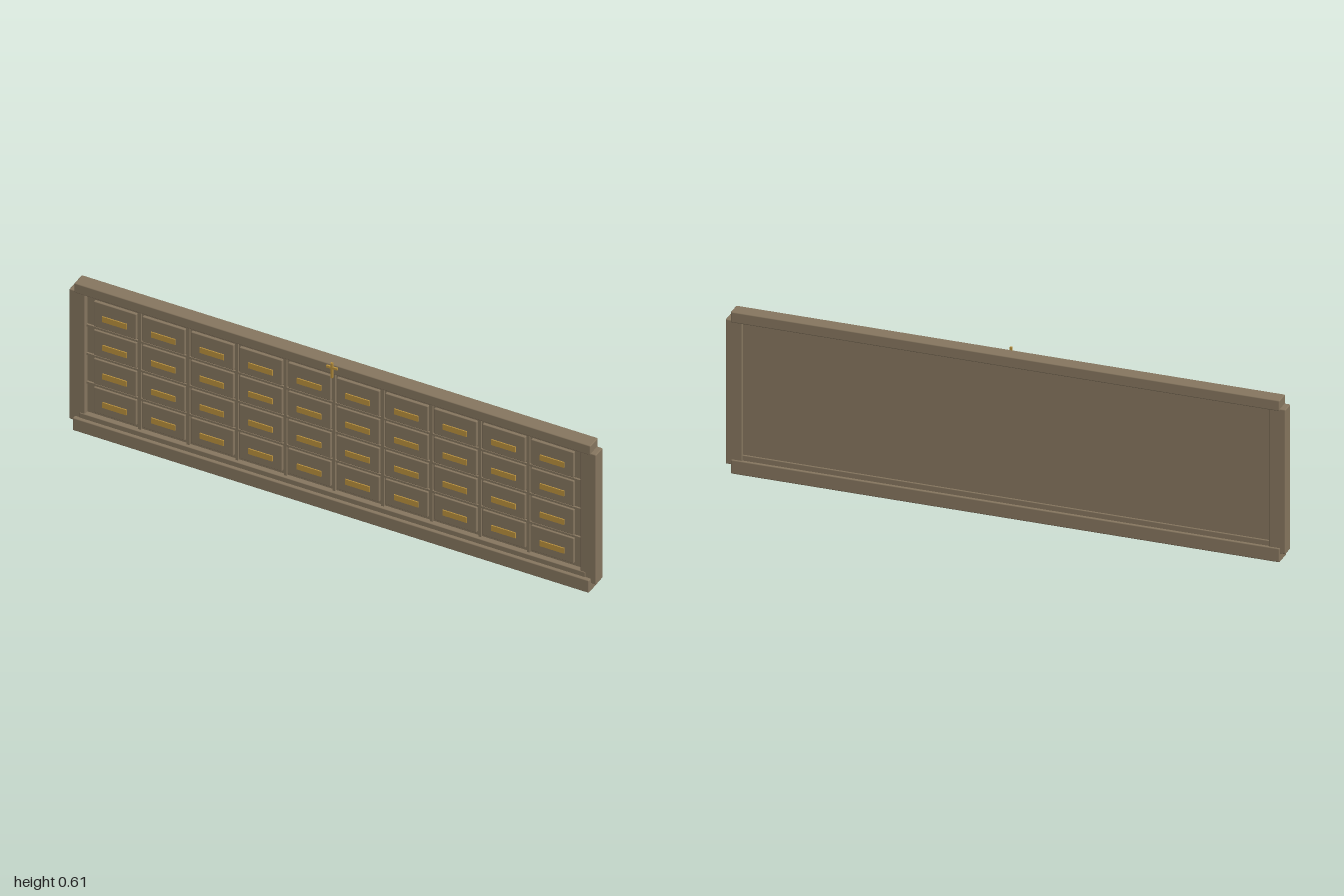
import * as THREE from 'three';
import { RoundedBoxGeometry } from 'three/addons/geometries/RoundedBoxGeometry.js';

export function createModel() {
  const model = new THREE.Group();
  model.name = 'drawerWall';
  const wood = new THREE.MeshStandardMaterial({ color: 0x86765f });
  wood.name = 'brownWood';
  const brass = new THREE.MeshStandardMaterial({ color: 0xbb923d });
  brass.name = 'brass';

  // Box given by its limits; a radius softens the edges
  function box(name, mat, x0, x1, y0, y1, z0, z1, radius = 0) {
    const size = [x1 - x0, y1 - y0, z1 - z0];
    const geo = radius
      ? new RoundedBoxGeometry(...size, 2, radius)
      : new THREE.BoxGeometry(...size);
    const mesh = new THREE.Mesh(geo, mat);
    mesh.name = name;
    mesh.position.set((x0 + x1) / 2, (y0 + y1) / 2, (z0 + z1) / 2);
    model.add(mesh);
  }

  // Frame
  box('basePlinth', wood, -0.98, 0.98, 0, 0.052, -0.032, 0.034, 0.004);
  box('topRail', wood, -0.98, 0.98, 0.56, 0.6, -0.032, 0.022, 0.004);
  box('leftPost', wood, 0.94, 1, 0.032, 0.568, -0.028, 0.02, 0.004);
  box('rightPost', wood, -1, -0.94, 0.032, 0.568, -0.028, 0.02, 0.004);
  box('lowerLedge', wood, -0.96, 0.96, 0.04, 0.072, -0.024, 0.022, 0.003);
  box('backPanel', wood, -0.95, 0.95, 0.045, 0.565, -0.02, 0.003);

  // Drawer grid with label plates
  const cols = 10, rows = 4, pitchX = 0.1845, pitchY = 0.118;
  const columnX = (c) => (c - (cols - 1) / 2) * pitchX;
  const rowY = (r) => 0.137 + r * pitchY;
  for (let r = 0; r < rows; r++) {
    for (let c = 0; c < cols; c++) {
      const x = columnX(c), y = rowY(r);
      box('drawerFront', wood, x - 0.081, x + 0.081, y - 0.052, y + 0.052, -0.004, 0.013, 0.003);
      box('labelPlate', brass, x - 0.046, x + 0.046, y - 0.02, y + 0.002, 0.011, 0.017);
    }
  }

  // Dividers between the drawers
  for (let c = 0; c < cols - 1; c++) {
    const x = columnX(c) + pitchX / 2;
    box('verticalDivider', wood, x - 0.005, x + 0.005, 0.072, 0.56, 0, 0.011);
  }
  for (let r = 0; r < rows - 1; r++) {
    const y = rowY(r) + pitchY / 2;
    box('horizontalDivider', wood, -0.94, 0.94, y - 0.004, y + 0.004, 0, 0.01);
  }

  // Small brass cross on the top rail
  box('crossUpright', brass, -0.004, 0.004, 0.548, 0.609, 0.022, 0.029);
  box('crossArm', brass, -0.021, 0.021, 0.586, 0.594, 0.0215, 0.0285);

  return model;
}
